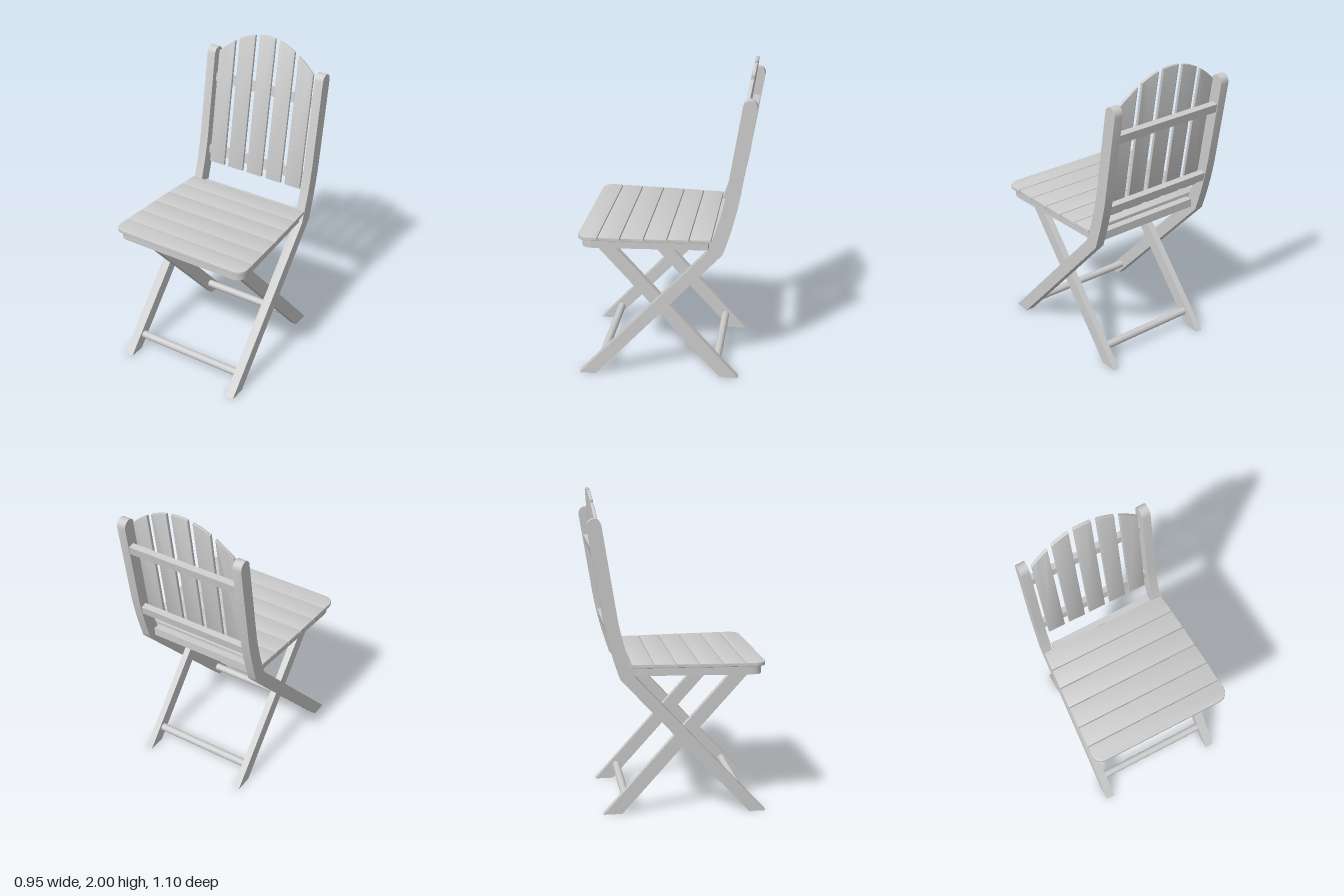
import * as THREE from 'three';
import { toCreasedNormals } from 'three/addons/utils/BufferGeometryUtils.js';

const material = new THREE.MeshStandardMaterial({ color: 0xcccccc });

function extrude(shape, depth, bevel = 0) {
  const geometry = new THREE.ExtrudeGeometry(shape, {
    depth: depth - 2 * bevel,
    bevelEnabled: bevel > 0,
    bevelThickness: bevel,
    bevelSize: bevel,
    bevelOffset: -bevel,
    bevelSegments: 2,
    curveSegments: 10,
  });
  geometry.translate(0, 0, bevel - depth / 2);
  return toCreasedNormals(geometry, 0.6);
}

export function createModel() {
  const chair = new THREE.Group();
  chair.name = 'foldingChair';

  function add(name, geometry, x = 0, y = 0, z = 0) {
    const mesh = new THREE.Mesh(geometry, material);
    mesh.name = name;
    mesh.position.set(x, y, z);
    chair.add(mesh);
    return mesh;
  }

  // Side profile drawn in (z, y), thickened along x
  const sideExtrude = (shape, width) => extrude(shape, width).rotateY(-Math.PI / 2);
  // Plan drawn in (x, z), thickened along y
  const planExtrude = (shape, height, bevel) => extrude(shape, height, bevel).rotateX(Math.PI / 2);

  // Long legs that bend at the seat and carry on as back posts
  const post = new THREE.Shape();
  post.moveTo(0.55, 0);
  post.lineTo(0.445, 0);
  post.lineTo(-0.36, 0.875);
  post.quadraticCurveTo(-0.425, 1.06, -0.46, 1.25);
  post.lineTo(-0.548, 1.795);
  post.bezierCurveTo(-0.553, 1.86, -0.475, 1.865, -0.463, 1.81);
  post.lineTo(-0.373, 1.25);
  post.quadraticCurveTo(-0.34, 1.07, -0.27, 0.89);
  post.closePath();

  // Short inner legs that cross them
  const shortLeg = new THREE.Shape();
  shortLeg.moveTo(-0.35, 0);
  shortLeg.lineTo(-0.467, 0);
  shortLeg.lineTo(0.335, 0.892);
  shortLeg.lineTo(0.45, 0.892);
  shortLeg.closePath();

  for (const side of [-1, 1]) {
    add('backPostLeg', sideExtrude(post, 0.058), side * 0.399);
    add('innerLeg', sideExtrude(shortLeg, 0.042), side * 0.35);
  }

  // Round foot rungs
  const rung = (width) => new THREE.CylinderGeometry(0.025, 0.025, width, 20).rotateZ(Math.PI / 2);
  add('frontRung', rung(0.75), 0, 0.095, 0.41);
  add('rearRung', rung(0.66), 0, 0.095, -0.325);

  // Seat base, notched at the rear to pass between the posts
  const base = new THREE.Shape();
  base.moveTo(-0.355, -0.335);
  base.lineTo(0.355, -0.335);
  base.lineTo(0.355, -0.27);
  base.lineTo(0.405, -0.27);
  base.lineTo(0.455, 0.44);
  base.quadraticCurveTo(0.455, 0.51, 0.39, 0.51);
  base.lineTo(-0.39, 0.51);
  base.quadraticCurveTo(-0.455, 0.51, -0.455, 0.44);
  base.lineTo(-0.405, -0.27);
  base.lineTo(-0.355, -0.27);
  base.closePath();
  add('seatBase', planExtrude(base, 0.055, 0), 0, 0.918, 0);

  // Tapering seat slats; the front one has rounded corners
  const halfWidth = (z) => 0.45 + 0.066 * z - 0.03 * z * z;
  const edges = [-0.29, -0.155, -0.021, 0.121, 0.266, 0.404, 0.535];
  for (let i = 0; i < 6; i++) {
    const z0 = edges[i] + 0.002, z1 = edges[i + 1] - 0.002;
    const w0 = halfWidth(z0), w1 = halfWidth(z1);
    const slat = new THREE.Shape();
    slat.moveTo(-w0, z0);
    slat.lineTo(w0, z0);
    if (i === 5) {
      slat.lineTo(0.476, 0.465);
      slat.quadraticCurveTo(0.47, z1, 0.4, z1);
      slat.lineTo(-0.4, z1);
      slat.quadraticCurveTo(-0.47, z1, -0.476, 0.465);
    } else {
      slat.lineTo(w1, z1);
      slat.lineTo(-w1, z1);
    }
    slat.closePath();
    add('seatSlat', planExtrude(slat, 0.025, 0.005), 0, 0.956, 0);
  }

  // Leaning back slats cut to a shared arched top line
  const slope = 0.157;
  const arch = (x) => 2 - 1.38 * x * x;
  for (const centre of [-0.291, -0.146, 0, 0.146, 0.291]) {
    const slat = new THREE.Shape();
    slat.moveTo(centre - 0.057, 1.075);
    slat.lineTo(centre + 0.057, 1.075);
    for (let k = 0; k <= 8; k++) {
      const x = centre + 0.057 - (k / 8) * 0.114;
      slat.lineTo(x, arch(x));
    }
    slat.closePath();
    const geometry = extrude(slat, 0.02, 0.004);
    const p = geometry.attributes.position;
    for (let i = 0; i < p.count; i++) {
      p.setZ(i, p.getZ(i) - 0.37 - slope * (p.getY(i) - 1.075));
    }
    add('backSlat', toCreasedNormals(geometry, 0.6));
  }

  // Cross rails behind the back slats
  for (const [y, z] of [[1.145, -0.412], [1.64, -0.497]]) {
    const rail = add('backRail', new THREE.BoxGeometry(0.75, 0.055, 0.042), 0, y, z);
    rail.rotation.x = -Math.atan(slope);
  }

  return chair;
}
